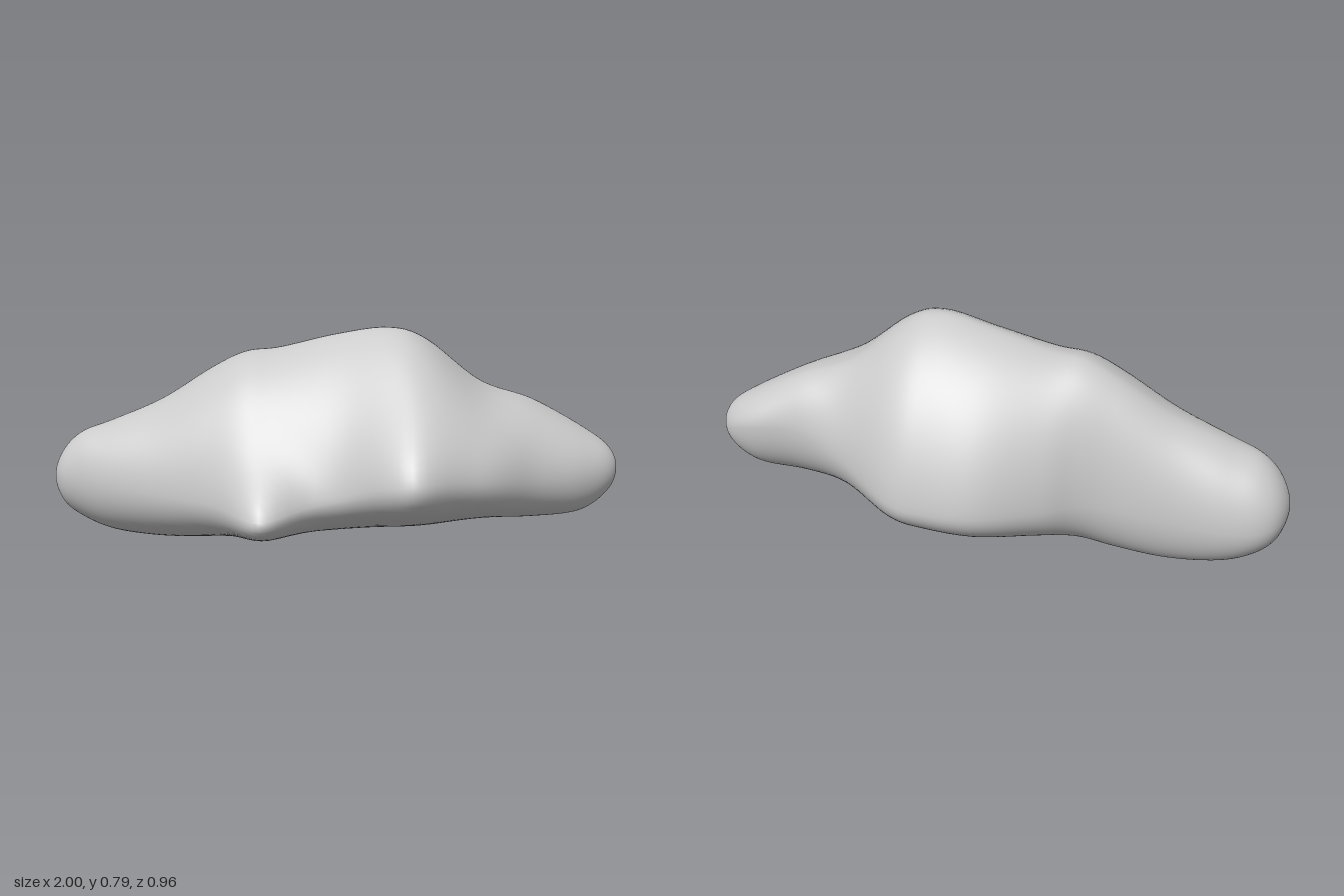
import * as THREE from 'three';
import { mergeVertices } from 'three/addons/utils/BufferGeometryUtils.js';

// Cross-sections along x, without the front lobes:
// [x, top y, bottom y, back z, front z, front tip y, back tip y, ridge z, keel z]
const SECTIONS = [
  [-1.0, 0.215, 0.215, -0.15, -0.15, 0.215, 0.215, -0.15, -0.15],
  [-0.97, 0.31, 0.12, -0.24, -0.07, 0.235, 0.195, -0.135, -0.17],
  [-0.9, 0.385, 0.06, -0.29, -0.02, 0.24, 0.18, -0.125, -0.185],
  [-0.78, 0.435, 0.015, -0.305, 0.045, 0.235, 0.18, -0.12, -0.19],
  [-0.6, 0.515, 0.002, -0.3, 0.125, 0.23, 0.2, -0.12, -0.19],
  [-0.42, 0.63, 0.02, -0.305, 0.2, 0.23, 0.23, -0.12, -0.17],
  [-0.3, 0.69, 0.045, -0.335, 0.245, 0.23, 0.25, -0.11, -0.14],
  [-0.18, 0.708, 0.06, -0.395, 0.27, 0.235, 0.25, -0.1, -0.12],
  [0.02, 0.76, 0.075, -0.472, 0.308, 0.27, 0.25, -0.08, -0.12],
  [0.2, 0.79, 0.09, -0.467, 0.34, 0.34, 0.25, -0.05, -0.11],
  [0.33, 0.75, 0.105, -0.43, 0.36, 0.36, 0.26, -0.05, -0.1],
  [0.52, 0.60, 0.137, -0.285, 0.33, 0.34, 0.32, -0.07, -0.06],
  [0.7, 0.535, 0.135, -0.21, 0.2, 0.31, 0.37, -0.08, -0.03],
  [0.87, 0.445, 0.15, -0.18, 0.105, 0.295, 0.35, -0.06, -0.03],
  [0.97, 0.375, 0.22, -0.12, 0.03, 0.295, 0.31, -0.045, -0.035],
  [1.0, 0.3, 0.3, -0.04, -0.04, 0.3, 0.3, -0.04, -0.04],
];
// Two rounded lobes that swell out of the lower front
const LOBES = [
  { x: -0.22, y: 0.2, width: 0.12, height: 0.15, depth: 0.165 },
  { x: 0.27, y: 0.35, width: 0.15, height: 0.21, depth: 0.122 },
];
const RINGS = 96, SIDES = 80;

const bell = (d, width) => Math.exp(-((d / width) ** 2));

// Smooth value of one column at row position s; past the ends, x turns back
// and the other columns run on, which makes the tips round
function sample(column, s) {
  const last = SECTIONS.length - 1;
  const i = Math.min(Math.floor(s), last - 1), t = s - i;
  const v = (k) => {
    if (k >= 0 && k <= last) return SECTIONS[k][column];
    const end = k < 0 ? 0 : last, mirrored = SECTIONS[2 * end - k][column];
    return column === 0 ? mirrored : 2 * SECTIONS[end][column] - mirrored;
  };
  const a = v(i - 1), b = v(i), c = v(i + 1), d = v(i + 2);
  return b + 0.5 * t * (c - a + t * (2 * a - 5 * b + 4 * c - d + t * (3 * (b - c) + d - a)));
}

// Closed skin: each ring is four superellipse quarters meeting at its extremes
function createBodyGeometry() {
  const points = [], index = [];
  for (let r = 0; r <= RINGS; r++) {
    // Rings bunch up towards the rounded tips
    const u = r / RINGS;
    const s = (SECTIONS.length - 1) * (u - 0.04 * Math.sin(2 * Math.PI * u));
    const [x, top, bottom, back, front, yFront, yBack, ridge, keel] =
      SECTIONS[0].map((_, column) => sample(column, s));
    const bulge = bell(x - 0.1, 0.42);
    for (let k = 0; k < SIDES; k++) {
      const a = (k / SIDES) * Math.PI * 2;
      const c = Math.cos(a), n = Math.sin(a);
      // The upper slopes of the middle are straighter than the rest
      const fullness = n >= 0 ? (c >= 0 ? -0.48 : -0.36) : (c >= 0 ? -0.12 : 0.12);
      const e = 2 + fullness * bulge;
      const w = Math.abs(c) ** (2 / e), h = Math.abs(n) ** (2 / e);
      const zMid = n >= 0 ? ridge : keel, yMid = c >= 0 ? yFront : yBack;
      const y = yMid + ((n >= 0 ? top : bottom) - yMid) * h;
      let z = zMid + ((c >= 0 ? front : back) - zMid) * w;
      if (c > 0) {
        for (const lobe of LOBES) {
          z += lobe.depth * bell(x - lobe.x, lobe.width) * bell(y - lobe.y, lobe.height) * (1 - n ** 4);
        }
      }
      points.push(x, y, z);
    }
  }
  // Corners run anticlockwise as seen from outside
  for (let r = 0; r < RINGS; r++) {
    for (let k = 0; k < SIDES; k++) {
      const a = r * SIDES + k, b = r * SIDES + ((k + 1) % SIDES);
      if (r > 0) index.push(a, a + SIDES, b);
      if (r < RINGS - 1) index.push(b, a + SIDES, b + SIDES);
    }
  }
  const geometry = new THREE.BufferGeometry();
  geometry.setAttribute('position', new THREE.Float32BufferAttribute(points, 3));
  geometry.setIndex(index);
  const skin = mergeVertices(geometry, 1e-5);
  skin.computeVertexNormals();
  return skin;
}

export function createModel() {
  const group = new THREE.Group();
  group.name = 'blob';
  const material = new THREE.MeshStandardMaterial({ color: 0xcccccc });
  const body = new THREE.Mesh(createBodyGeometry(), material);
  body.name = 'body';
  group.add(body);
  return group;
}
